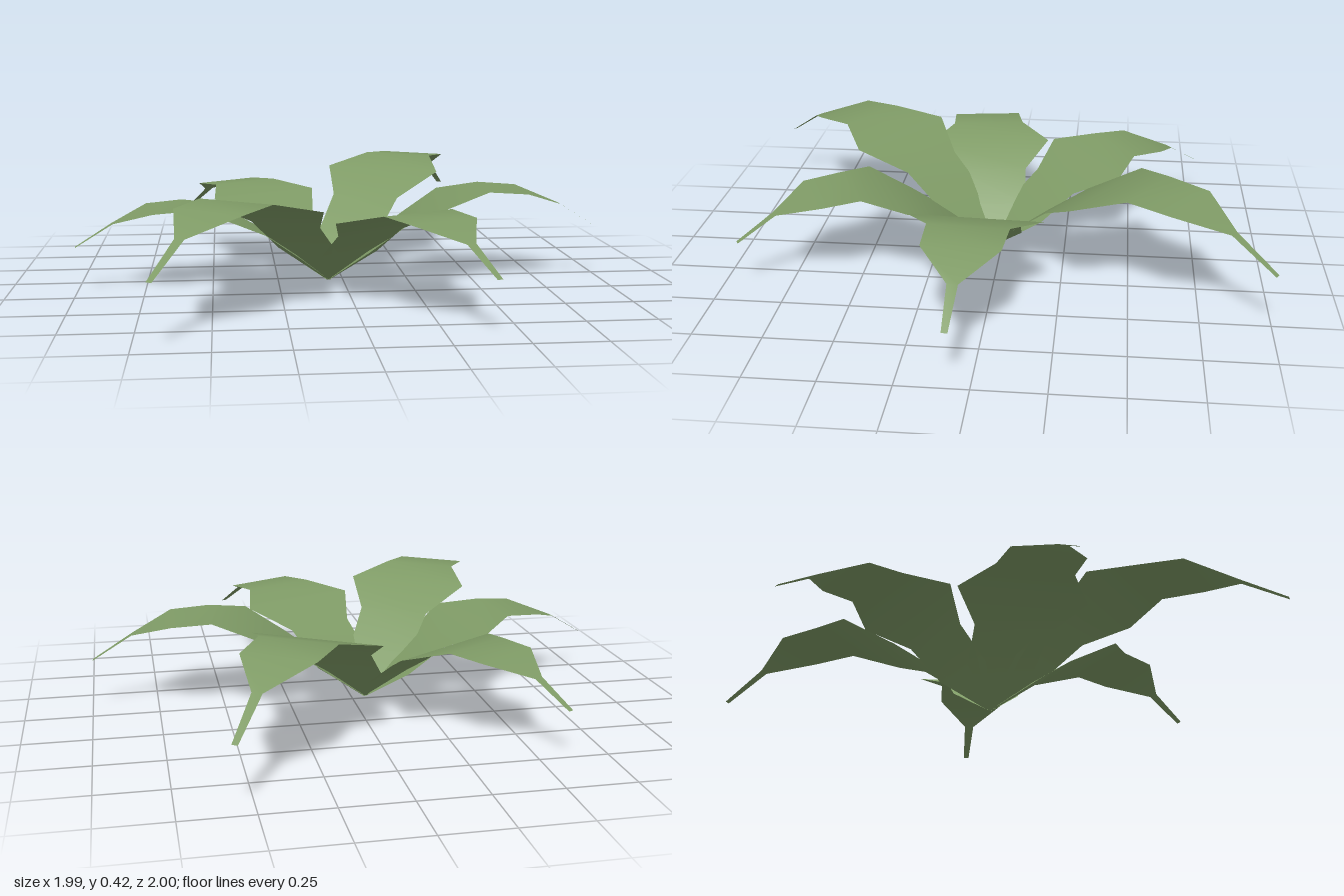
import * as THREE from 'three';

// half widths at the eight evenly spaced stations from base to tip
const HALF_WIDTHS = [0.008, 0.128, 0.142, 0.246, 0.146, 0.138, 0.019, 0.011];
const BEND = 2.56; // how far the arch runs along a sine curve, in radians

// one arched leaf blade growing along +x, level across its width
function leafGeometry(length, height) {
  const segments = HALF_WIDTHS.length - 1;
  const geometry = new THREE.PlaneGeometry(1, 1, segments, 1).rotateX(-Math.PI / 2);
  const pos = geometry.attributes.position;
  for (let i = 0; i < pos.count; i++) {
    const t = pos.getX(i) + 0.5;
    const side = Math.sign(pos.getZ(i));
    const halfWidth = HALF_WIDTHS[Math.round(t * segments)];
    pos.setXYZ(i, t * length, height * Math.sin(BEND * t), side * halfWidth);
  }
  geometry.computeVertexNormals();
  return geometry;
}

export function createModel() {
  const plant = new THREE.Group();
  plant.name = 'leafyPlant';
  const leafGreen = new THREE.MeshStandardMaterial({ color: 0x7f9b66, side: THREE.DoubleSide });
  leafGreen.name = 'leafGreen';

  // shared root, and each leaf's tip (x, z) and arch height
  const root = { x: -0.055, z: 0.03 };
  const leaves = [
    ['leftLeaf', 0.99, 0.08, 0.36],
    ['backLeftLeaf', 0.565, -0.995, 0.42],
    ['backRightLeaf', -0.595, -0.775, 0.325],
    ['rightLeaf', -1.0, 0.17, 0.315],
    ['frontRightLeaf', -0.685, 0.99, 0.4],
    ['frontLeftLeaf', 0.41, 0.925, 0.345],
  ];
  for (const [name, x, z, height] of leaves) {
    const dx = x - root.x, dz = z - root.z;
    const leaf = new THREE.Mesh(leafGeometry(Math.hypot(dx, dz), height), leafGreen);
    leaf.name = name;
    leaf.position.set(root.x, 0, root.z);
    leaf.rotation.y = Math.atan2(-dz, dx);
    plant.add(leaf);
  }
  return plant;
}
